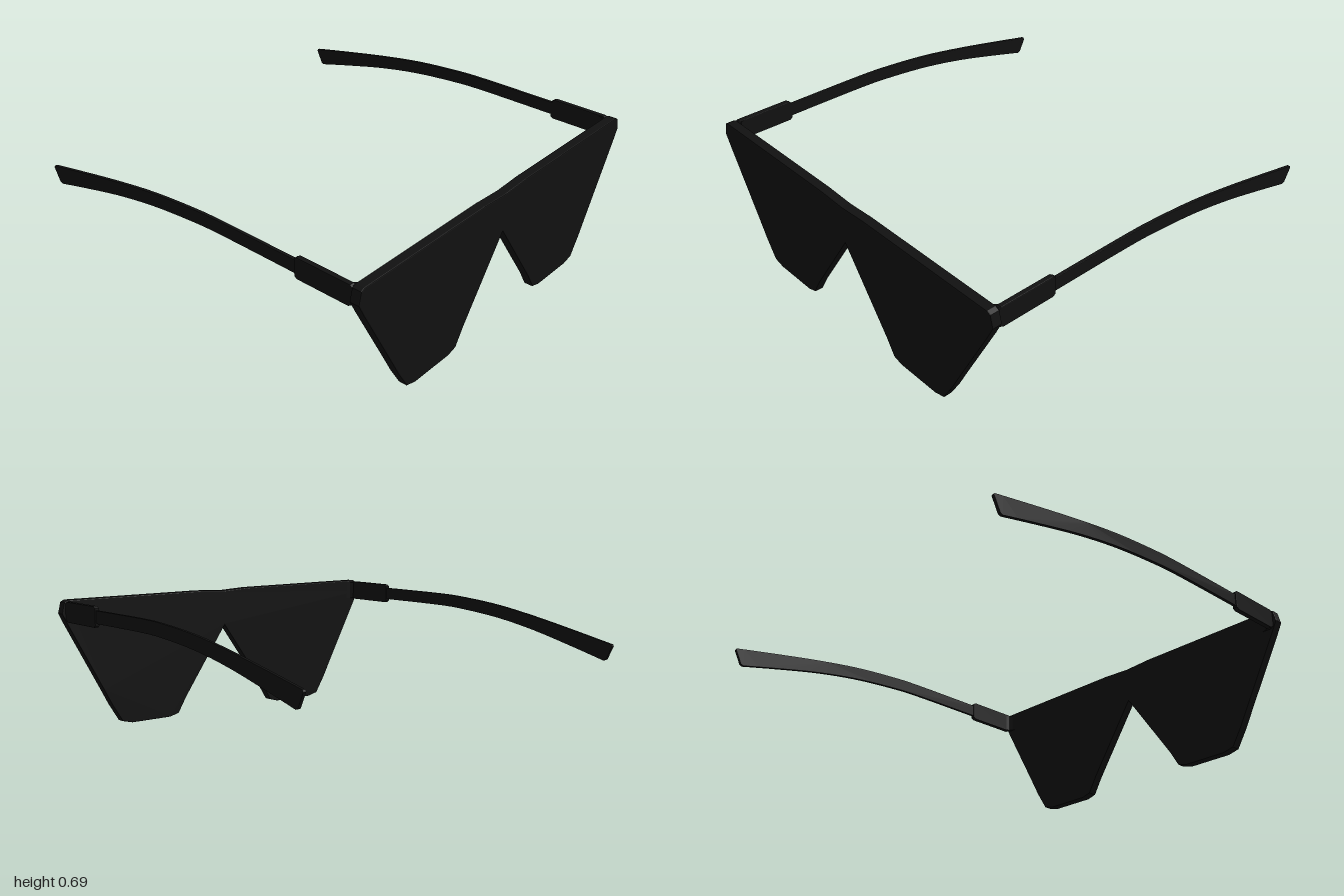
import * as THREE from 'three';

const material = new THREE.MeshStandardMaterial({ color: 0x111111 });

// Extrude an outline with a small bevel kept inside the outline and the depth
function slab(points, depth, bevel) {
  const shape = new THREE.Shape(points.map(([x, y]) => new THREE.Vector2(x, y)));
  const geometry = new THREE.ExtrudeGeometry(shape, {
    depth: depth - 2 * bevel,
    bevelEnabled: bevel > 0,
    bevelThickness: bevel,
    bevelSize: bevel,
    bevelOffset: -bevel,
    bevelSegments: 2,
    curveSegments: 6,
  });
  return geometry.translate(0, 0, bevel - depth / 2);
}

// Side outline given as (z, y), thickness along x, centred on x
function sidePart(points, thickness, bevel, x) {
  return slab(points, thickness, bevel).rotateY(-Math.PI / 2).translate(x, 0, 0);
}

function add(group, name, geometry) {
  const mesh = new THREE.Mesh(geometry, material);
  mesh.name = name;
  group.add(mesh);
}

export function createModel() {
  const group = new THREE.Group();
  group.name = 'sunglasses';

  // One-piece front: half outline from the brow round to the nose notch
  const half = [
    [0.16, 0.69], [0.965, 0.69], [0.985, 0.68], [1, 0.62], [0.97, 0.56],
    [0.775, 0.2], [0.73, 0.115], [0.67, 0.018], [0.61, 0.003], [0.37, 0.003],
    [0.317, 0.018], [0.265, 0.105],
  ];
  const mirrored = half.map(([x, y]) => [-x, y]).reverse();
  const outline = [[0, 0.682], ...half, [0, 0.487], ...mirrored];
  add(group, 'lensFront', slab(outline, 0.05, 0.005).translate(0, 0, 0.973));

  // Curved temple arm: upper and lower edges as (z, y)
  const upper = new THREE.SplineCurve([
    [0.66, 0.663], [0.2, 0.663], [0, 0.655], [-0.25, 0.632], [-0.5, 0.593], [-0.75, 0.546], [-0.995, 0.497],
  ].map(p => new THREE.Vector2(...p))).getPoints(24);
  const lower = new THREE.SplineCurve([
    [-0.95, 0.412], [-0.75, 0.462], [-0.5, 0.52], [-0.25, 0.563], [0, 0.588], [0.2, 0.597], [0.66, 0.597],
  ].map(p => new THREE.Vector2(...p))).getPoints(24);
  const armOutline = [
    ...upper.map(p => [p.x, p.y]), [-1, 0.488], [-0.965, 0.418],
    ...lower.map(p => [p.x, p.y]),
  ];

  // Hinge block with clipped corners
  const hingeOutline = [
    [0.95, 0.67], [0.935, 0.683], [0.65, 0.683], [0.635, 0.673],
    [0.635, 0.587], [0.65, 0.577], [0.925, 0.577], [0.95, 0.59],
  ];

  for (const [side, s] of [['left', 1], ['right', -1]]) {
    add(group, side + 'Arm', sidePart(armOutline, 0.016, 0.002, s * 0.967));
    add(group, side + 'Hinge', sidePart(hingeOutline, 0.026, 0.004, s * 0.968));

    // Small curved gusset between the hinge and the back of the front
    const gusset = [[0.97, 0.9], [0.957, 0.9], [0.95, 0.93], [0.935, 0.942], [0.9, 0.95], [0.97, 0.95]];
    const geometry = slab(gusset.map(([x, z]) => [s * x, -z]), 0.095, 0);
    add(group, side + 'Gusset', geometry.rotateX(-Math.PI / 2).translate(0, 0.63, 0));
  }
  return group;
}
